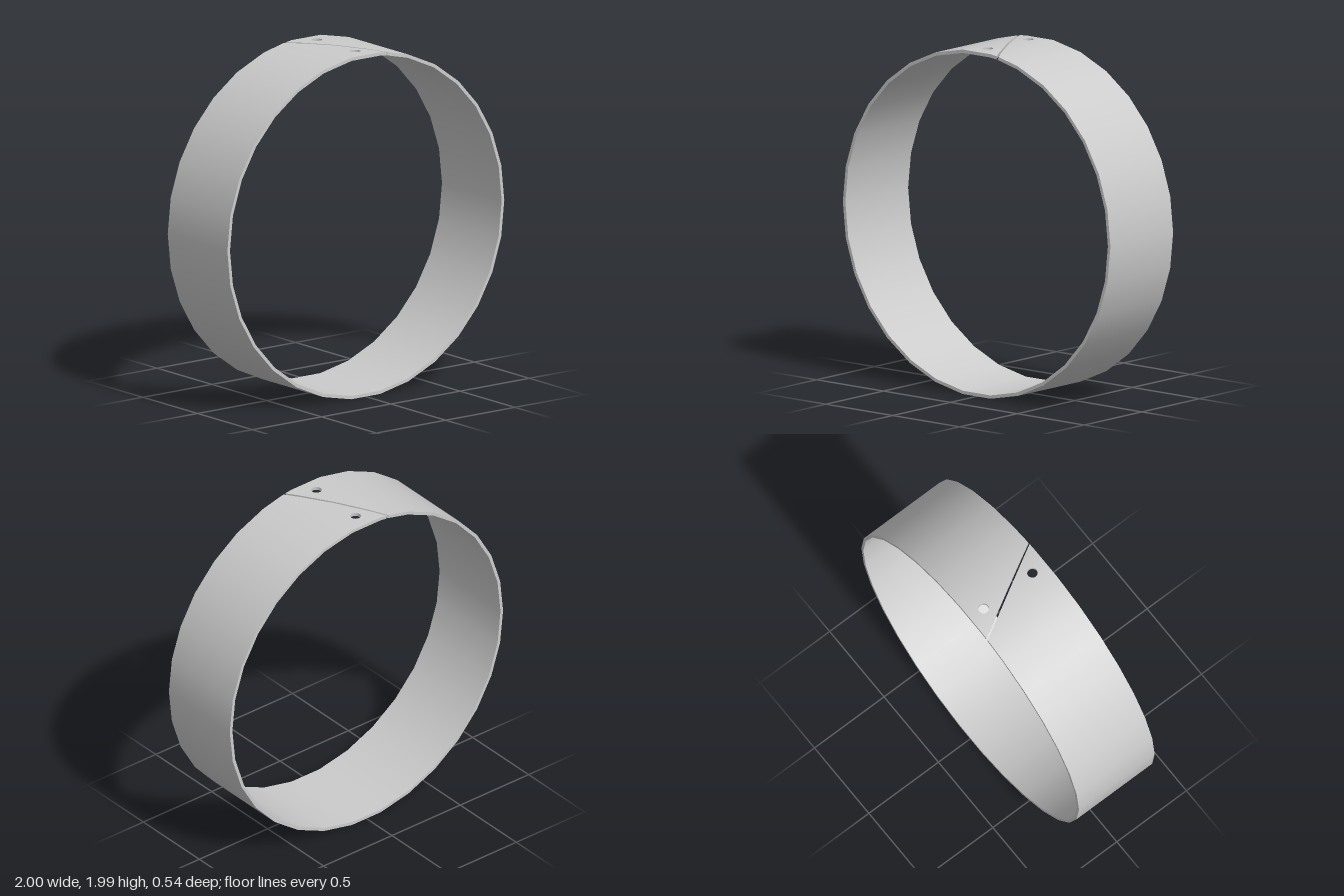
import * as THREE from 'three';

const STEP = Math.PI / 15;            // 30 facets around the ring
const C = STEP / 2, D = STEP * 1.5;   // first facet edges beside the top
const OUTER = 1, INNER = 0.981;
const W = 0.272;                      // half width of the band
const CENTRE_Y = Math.cos(C);         // lowest facet rests on y = 0
const SLOPE = 0.575, GAP = 0.007;     // diagonal split at the top
const HOLE_R = 0.03, HOLE_V = 0.175;

// The band is laid out flat as (angle, z) and then rolled up.
const slitU = v => SLOPE * v + GAP;
const slitV = u => (u - GAP) / SLOPE;
const mirror = ([u, v]) => [2 * Math.PI - u, -v];
const roll = (u, v, r) => [r * Math.sin(u), CENTRE_Y + r * Math.cos(u), v];

function holePoints(u, v) {
  return Array.from({ length: 20 }, (_, i) => {
    const a = -i * Math.PI / 10;
    return [u + HOLE_R * Math.cos(a), v + HOLE_R * Math.sin(a)];
  });
}

// One curved face piece, smooth shaded with radial normals
function face(points, hole, radius, outward) {
  const toVec = p => new THREE.Vector2(...p);
  const shape = new THREE.Shape(points.map(toVec));
  if (hole) shape.holes.push(new THREE.Path(hole.map(toVec)));
  const geo = new THREE.ShapeGeometry(shape);
  const pos = geo.attributes.position, nor = geo.attributes.normal;
  const sign = outward ? 1 : -1;
  for (let i = 0; i < pos.count; i++) {
    const u = pos.getX(i), v = pos.getY(i);
    pos.setXYZ(i, ...roll(u, v, radius));
    nor.setXYZ(i, sign * Math.sin(u), sign * Math.cos(u), 0);
  }
  if (outward) geo.setIndex(Array.from(geo.index.array).reverse());
  return geo;
}

// Wall through the thickness of the band along a closed loop
function wall(loop) {
  const verts = [];
  loop.forEach((a, i) => {
    const b = loop[(i + 1) % loop.length];
    const ao = roll(...a, OUTER), bo = roll(...b, OUTER);
    const ai = roll(...a, INNER), bi = roll(...b, INNER);
    verts.push(...ao, ...bo, ...bi, ...ao, ...bi, ...ai);
  });
  const geo = new THREE.BufferGeometry();
  geo.setAttribute('position', new THREE.Float32BufferAttribute(verts, 3));
  geo.computeVertexNormals();
  return geo;
}

export function createModel() {
  const group = new THREE.Group();
  group.name = 'splitRing';
  const material = new THREE.MeshStandardMaterial({ color: 0xcccccc });
  const add = (name, geo) => {
    const mesh = new THREE.Mesh(geo, material);
    mesh.name = name;
    group.add(mesh);
  };

  // Panels beside the split, one of them pierced
  const hole = holePoints(0, -HOLE_V);
  const endPanels = [
    { pts: [[slitU(-W), -W], [-C, -W], [-C, slitV(-C)]] },
    { pts: [[-C, -W], [C, -W], [C, slitV(C)], [GAP, 0], [-C, slitV(-C)]], hole },
    { pts: [[C, -W], [D, -W], [D, W], [slitU(W), W], [C, slitV(C)]] },
  ];
  const panels = [...endPanels];
  endPanels.forEach(p => panels.push({ pts: p.pts.map(mirror), hole: p.hole && p.hole.map(mirror) }));

  // Plain panels around the rest of the ring
  for (let k = 0; k < 27; k++) {
    const a = D + k * STEP, b = a + STEP;
    panels.push({ pts: [[a, -W], [b, -W], [b, W], [a, W]] });
  }
  panels.forEach(p => {
    add('outerPanel', face(p.pts, p.hole, OUTER, true));
    add('innerPanel', face(p.pts, p.hole, INNER, false));
  });

  // Rim: back edge and one split edge, then the same turned half round
  const half = [[slitU(-W), -W]];
  for (let k = 0; k < 30; k++) half.push([-C + k * STEP, -W]);
  half.push(...[[slitU(W), W], [C, slitV(C)], [GAP, 0], [-C, slitV(-C)]].map(mirror));
  add('rimAndSplitEdges', wall([...half, ...half.map(mirror)]));

  // Hole walls
  add('backHole', wall(hole));
  add('frontHole', wall(hole.map(mirror)));
  return group;
}
